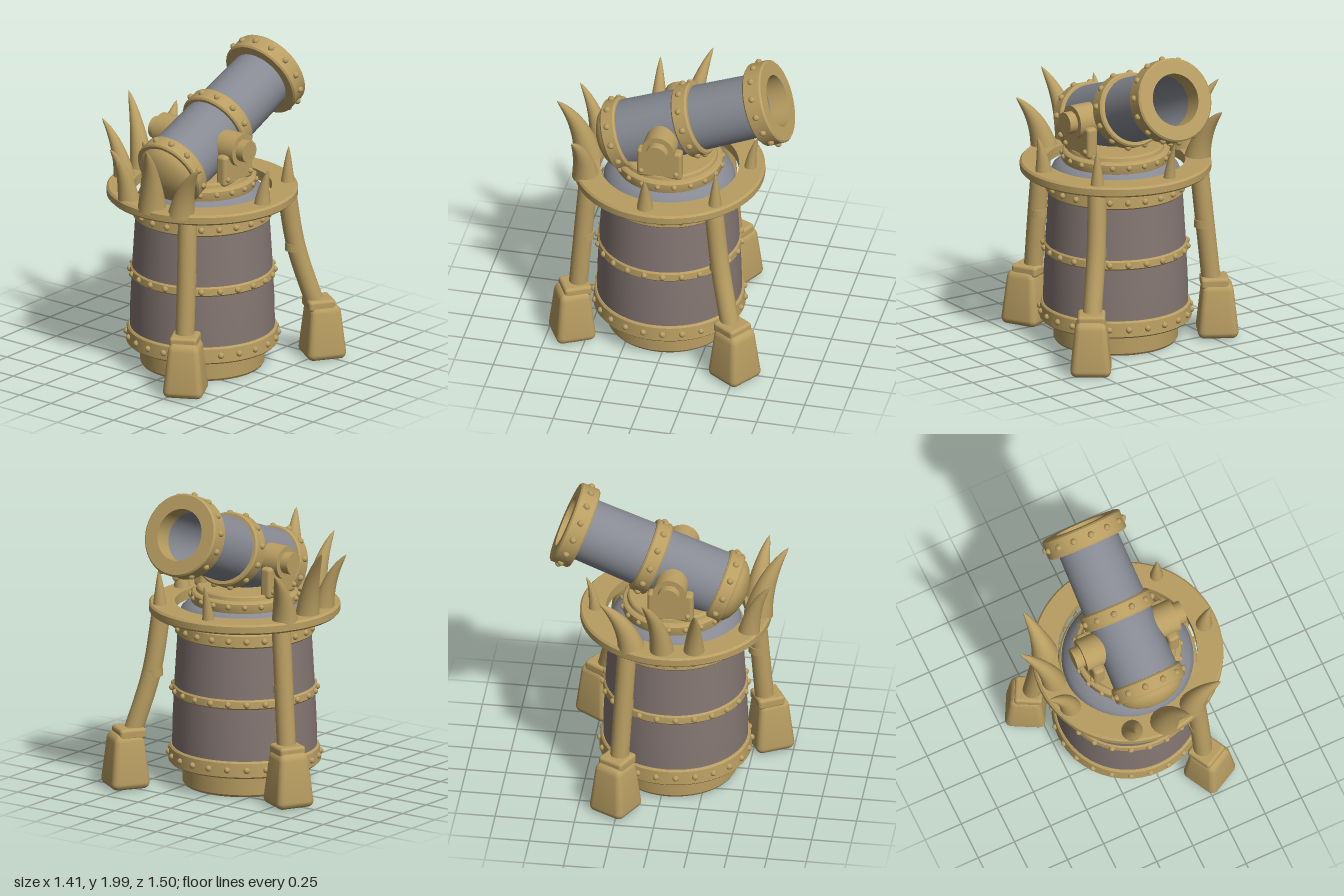
import * as THREE from 'three';
import { mergeGeometries, mergeVertices, toCreasedNormals } from 'three/addons/utils/BufferGeometryUtils.js';
import { RoundedBoxGeometry } from 'three/addons/geometries/RoundedBoxGeometry.js';

const mat = (name, color) => {
  const m = new THREE.MeshStandardMaterial({ color });
  m.name = name;
  return m;
};
const V = (x, y, z) => new THREE.Vector3(x, y, z);

export function createModel() {
  const brass = mat('brass', 0xb99e62);
  const wood = mat('wood', 0x857773);
  const steel = mat('steel', 0x878a93);
  const root = new THREE.Group();
  root.name = 'cannonTurret';

  const add = (parent, name, geo, material, x = 0, y = 0, z = 0) => {
    const mesh = new THREE.Mesh(geo, material);
    mesh.name = name;
    mesh.position.set(x, y, z);
    parent.add(mesh);
    return mesh;
  };

  // Turned part from [radius, height] pairs, listed counter-clockwise
  const turned = (pts, segments = 64) =>
    toCreasedNormals(new THREE.LatheGeometry(pts.map(p => new THREE.Vector2(...p)), segments), 0.5);

  // Hoop with bevelled edges, closed on the inside
  const hoop = (r0, r1, y0, y1, inner, b = 0.01) => turned([
    [inner, y0], [r0 - b, y0], [r0, y0 + b], [r1, y1 - b], [r1 - b, y1], [inner, y1], [inner, y0],
  ]);

  // Circle of round rivets about the y axis
  const rivets = (n, r, y, size = 0.02, offset = 0) => mergeGeometries(
    Array.from({ length: n }, (_, i) => {
      const a = (i + offset) / n * Math.PI * 2;
      return new THREE.SphereGeometry(size, 10, 8).translate(r * Math.sin(a), y, r * Math.cos(a));
    }));

  // Tapered, curved horn: a tube whose rings shrink to the tip
  const horn = (base, tip, radius) => {
    const mid = V(base.x + (tip.x - base.x) * 0.2, base.y + (tip.y - base.y) * 0.6, base.z + (tip.z - base.z) * 0.2);
    const curve = new THREE.QuadraticBezierCurve3(base, mid, tip);
    const n = 16, sides = 16;
    const geo = new THREE.TubeGeometry(curve, n, radius, sides, false);
    const pos = geo.attributes.position, v = V(0, 0, 0);
    for (let i = 0; i <= n; i++) {
      const c = curve.getPointAt(i / n), k = Math.pow(1 - i / n, 0.75);
      for (let j = 0; j <= sides; j++) {
        const id = i * (sides + 1) + j;
        v.fromBufferAttribute(pos, id).sub(c).multiplyScalar(k).add(c);
        pos.setXYZ(id, v.x, v.y, v.z);
      }
    }
    return toCreasedNormals(geo, 1.2);
  };

  // Rounded block narrowing towards the top
  const taperedBlock = (w, h, top, r) => {
    const geo = new RoundedBoxGeometry(w, h, w, 4, r);
    const pos = geo.attributes.position;
    for (let i = 0; i < pos.count; i++) {
      const t = pos.getY(i) / h + 0.5;
      const k = 1 + (top / w - 1) * t * t * 0.5 + (top / w - 1) * t * 0.5;
      pos.setX(i, pos.getX(i) * k);
      pos.setZ(i, pos.getZ(i) * k);
    }
    geo.deleteAttribute('normal');
    geo.deleteAttribute('uv');
    return toCreasedNormals(mergeVertices(geo, 1e-5), 0.6);
  };

  // Barrel tower, set slightly forward
  const tower = new THREE.Group();
  tower.name = 'tower';
  tower.position.z = 0.04;
  root.add(tower);
  add(tower, 'base', turned([[0, 0], [0.38, 0], [0.39, 0.015], [0.39, 0.15], [0, 0.15]]), brass);
  add(tower, 'woodenBody', turned([[0, 0.145], [0.455, 0.15], [0.452, 0.4], [0.44, 0.65], [0.415, 1.06], [0, 1.06]]), wood);
  add(tower, 'lid', turned([[0.415, 1.05], [0.412, 1.09], [0.395, 1.13], [0.35, 1.17], [0.28, 1.2], [0, 1.21]]), steel);
  [[0.478, 0.47, 0.143, 0.25], [0.455, 0.451, 0.583, 0.645], [0.437, 0.43, 0.975, 1.064]].forEach(([r0, r1, y0, y1]) => {
    add(tower, 'hoop', hoop(r0, r1, y0, y1, 0.38), brass);
    add(tower, 'hoopRivets', rivets(24, (r0 + r1) / 2, (y0 + y1) / 2, 0.02, 0.5), brass);
  });
  add(tower, 'platformRing', hoop(0.6, 0.6, 1.11, 1.175, 0.437, 0.012), brass);
  add(tower, 'turntable', turned([[0, 1.17], [0.33, 1.17], [0.335, 1.18], [0.335, 1.235], [0.325, 1.245],
    [0.305, 1.25], [0.3, 1.27], [0.29, 1.28], [0, 1.28]]), brass);
  add(tower, 'turntableRivets', rivets(20, 0.335, 1.215, 0.018), brass);

  // Horns on the ring: base x, z, tip x, y, z, radius
  [
    [0.38, -0.34, 0.385, 1.405, -0.345, 0.045],
    [0.51, 0.08, 0.56, 1.405, 0.075, 0.055],
    [-0.47, -0.18, -0.53, 1.5, -0.37, 0.085],
    [-0.5, 0.02, -0.69, 1.615, -0.085, 0.078],
    [-0.48, 0.22, -0.64, 1.53, 0.245, 0.068],
    [-0.2, 0.53, -0.24, 1.53, 0.67, 0.07],
    [0.01, 0.56, 0.105, 1.61, 0.74, 0.092],
    [0.22, 0.53, 0.395, 1.5, 0.58, 0.085],
    [-0.08, -0.46, -0.085, 1.405, -0.515, 0.04],
  ].forEach(([bx, bz, x, y, z, r]) => add(root, 'horn', horn(V(bx, 1.16, bz), V(x, y, z), r), brass));

  // Three legs with block feet
  [
    { foot: [0.53, -0.5], turn: -56, low: [0.5, -0.465], mid: [0.415, -0.38], top: [0.375, -0.33] },
    { foot: [-0.56, -0.265], turn: 208, low: [-0.53, -0.245], mid: [-0.495, -0.225], top: [-0.46, -0.205] },
    { foot: [0.305, 0.595], turn: 62, low: [0.275, 0.565], mid: [0.265, 0.535], top: [0.25, 0.505] },
  ].forEach(({ foot, turn, low, mid, top }) => {
    const leg = new THREE.Group();
    leg.name = 'leg';
    root.add(leg);
    const yaw = -turn * Math.PI / 180;
    add(leg, 'foot', taperedBlock(0.26, 0.35, 0.185, 0.045), brass, foot[0], 0.18, foot[1]).rotation.y = yaw;
    add(leg, 'ankle', new RoundedBoxGeometry(0.175, 0.07, 0.175, 3, 0.02), brass,
      (foot[0] + low[0]) / 2, 0.357, (foot[1] + low[1]) / 2).rotation.y = yaw;
    const curve = new THREE.CatmullRomCurve3([V(low[0], 0.35, low[1]), V(mid[0], 0.74, mid[1]), V(top[0], 1.13, top[1])]);
    add(leg, 'strut', new THREE.TubeGeometry(curve, 20, 0.06, 20, false), brass);
    add(leg, 'cuff', new THREE.CylinderGeometry(0.062, 0.062, 0.05, 20), brass, mid[0] * 0.985, 0.74, mid[1] * 0.985);
  });

  // Cannon, tilted about its pivot; local y runs to the muzzle
  const cannon = new THREE.Group();
  cannon.name = 'cannon';
  cannon.position.set(0, 1.472, 0.042);
  cannon.rotation.x = -68 * Math.PI / 180;
  root.add(cannon);
  add(cannon, 'barrel', turned([[0.215, -0.37], [0.198, 0.7], [0.166, 0.75], [0.166, 0.1], [0, 0.1]]), steel);
  add(cannon, 'breech', turned([[0, -0.475], [0.06, -0.47], [0.12, -0.452], [0.17, -0.425], [0.2, -0.395], [0.212, -0.36]]), brass);
  [[0.235, -0.375, -0.275, 12, 0.5], [0.236, 0.117, 0.223, 12, 0.5], [0.264, 0.625, 0.752, 14, 0]].forEach(([r, y0, y1, n, offset], i) => {
    add(cannon, i === 2 ? 'muzzle' : 'barrelBand', hoop(r, r, y0, y1, i === 2 ? 0.165 : 0.19), brass);
    add(cannon, 'barrelRivets', rivets(n, r, (y0 + y1) / 2, 0.021, offset), brass);
  });

  // Mirrored mounts and trunnions
  for (const s of [-1, 1]) {
    add(root, 'mount', new RoundedBoxGeometry(0.075, 0.2, 0.29, 3, 0.022), brass, s * 0.258, 1.355, 0.042);
    for (const z of [-0.07, 0.155]) {
      add(root, 'mountRivet', new THREE.SphereGeometry(0.018, 10, 8), brass, s * 0.296, 1.3, z);
    }
    [[0.105, 0.18, 0.323], [0.07, 0.3, 0.378]].forEach(([r, x0, x1]) => {
      add(root, 'trunnion', new THREE.CylinderGeometry(r, r, x1 - x0, 32), brass, s * (x0 + x1) / 2, 1.472, 0.042)
        .rotation.z = Math.PI / 2;
    });
  }
  return root;
}
